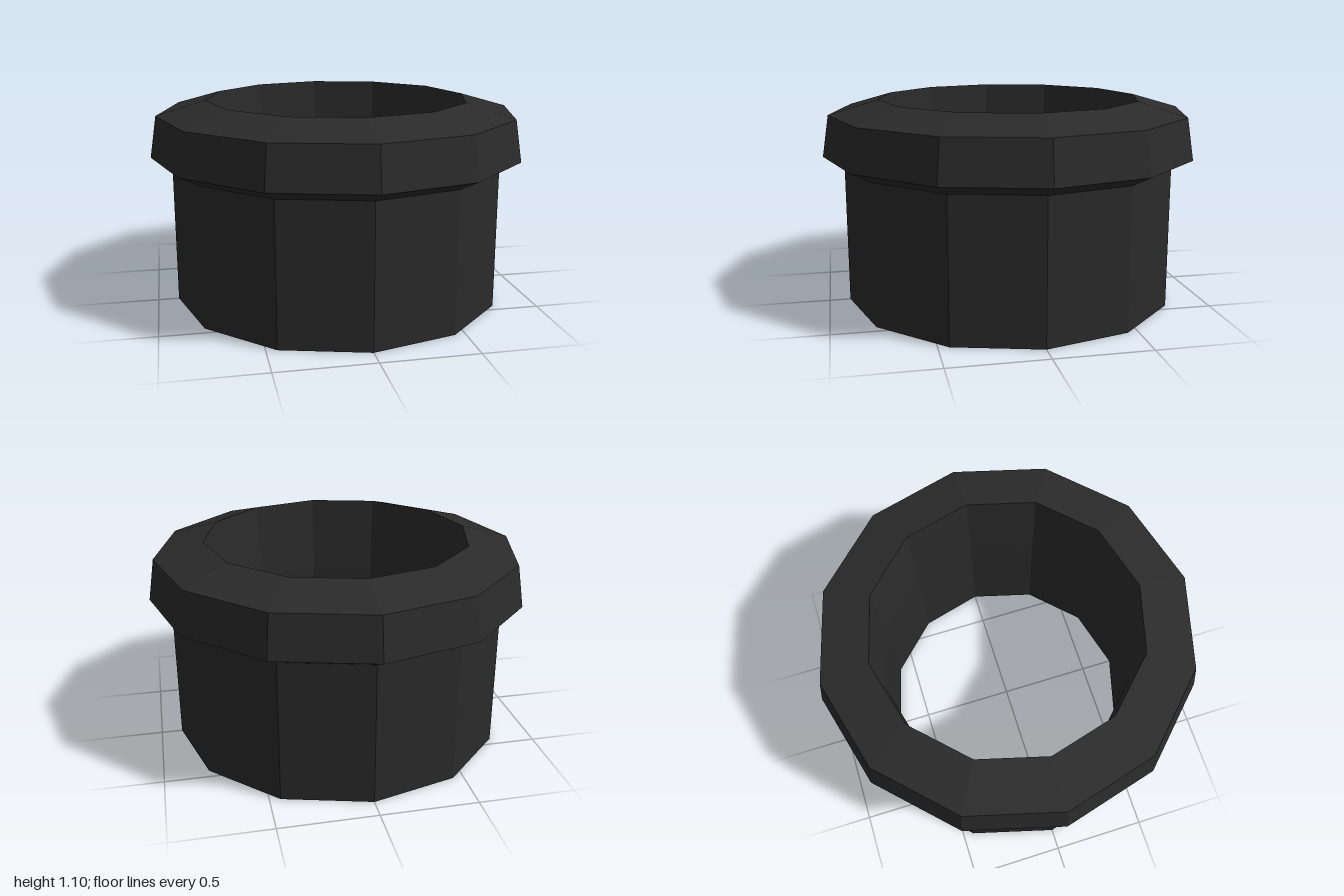
import * as THREE from 'three';

const SIDES = 12;

export function createModel() {
  const group = new THREE.Group();
  group.name = 'flangedRing';

  const black = new THREE.MeshStandardMaterial({
    color: 0x2b2b2b, flatShading: true, side: THREE.DoubleSide,
  });
  black.name = 'matte black';

  // Twelve-sided surface turned from a [radius, height] profile
  const turn = (name, profile) => {
    const points = profile.map(([r, y]) => new THREE.Vector2(r, y));
    const mesh = new THREE.Mesh(new THREE.LatheGeometry(points, SIDES), black);
    mesh.name = name;
    group.add(mesh);
  };

  // Outer sleeve, open underneath
  turn('outerSleeve', [[0.89, 0], [0.89, 0.745]]);

  // Overhanging collar with a sloped top
  turn('collar', [[0.89, 0.745], [1, 0.8], [0.965, 1.02], [0.705, 1.095]]);

  // Inner bore, tapering slightly below the mouth
  turn('innerBore', [[0.705, 1.095], [0.675, 0.68], [0.675, 0]]);

  return group;
}
